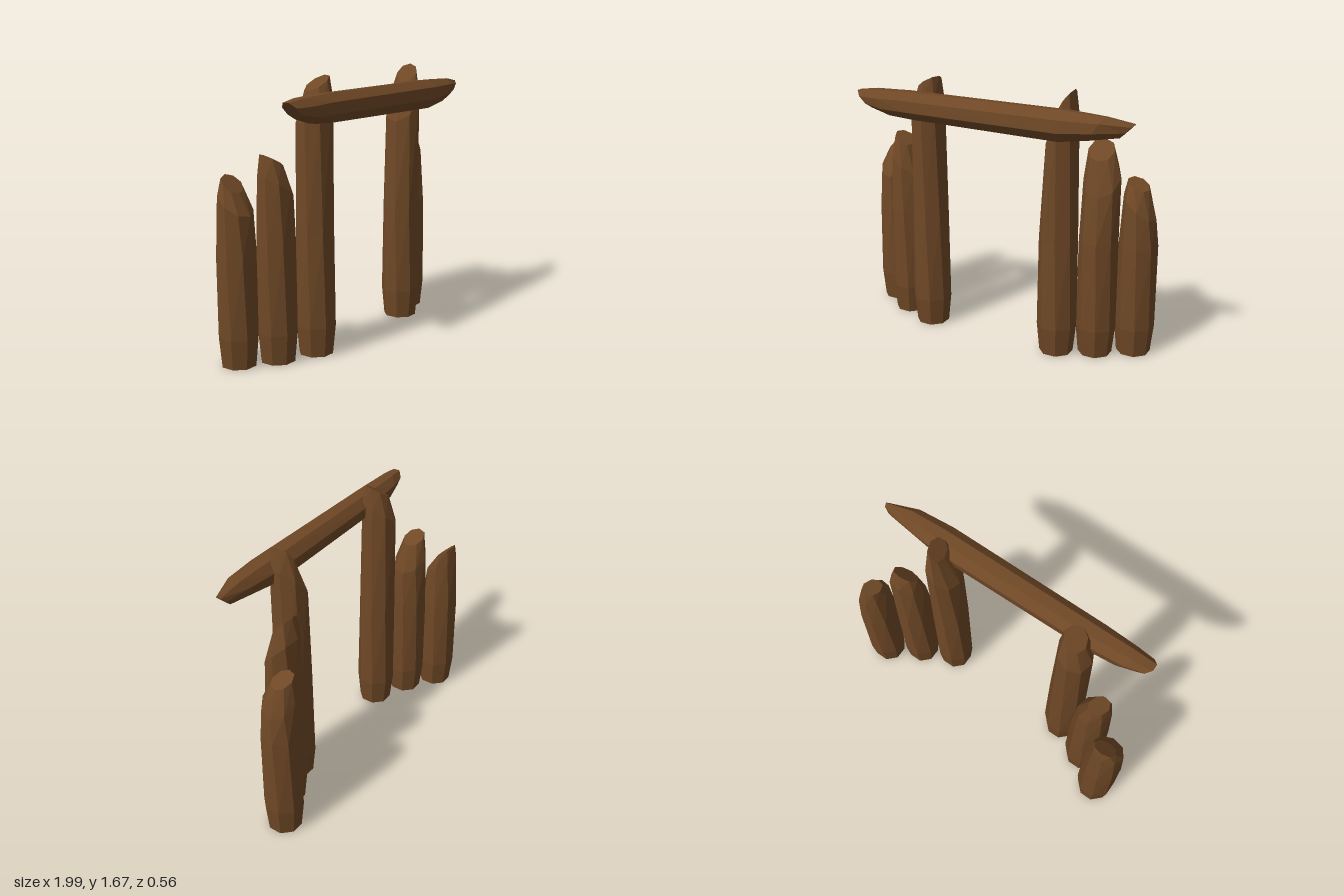
import * as THREE from 'three';

const SIDES = 8;
const wood = new THREE.MeshStandardMaterial({ color: 0x6f4826, flatShading: true });

// A hewn log lofted along y. Each ring: [y, dx, dz, rx, rz, slopeX, slopeZ];
// the slopes tilt a ring so that the ends are cut at an angle.
function logGeometry(rings, twist) {
  const pos = [];
  const index = [];
  const at = (j, i) => j * SIDES + (i % SIDES);
  rings.forEach(([y, dx, dz, rx, rz, sx = 0, sz = 0], j) => {
    for (let i = 0; i < SIDES; i++) {
      const a = (i / SIDES) * Math.PI * 2 + twist * Math.max(0, j - 1) + Math.PI / 8;
      const x = rx * Math.cos(a);
      const z = rz * Math.sin(a);
      pos.push(dx + x, y + sx * x + sz * z, dz + z);
    }
  });
  const last = rings.length - 1;
  for (let j = 0; j < last; j++) {
    for (let i = 0; i < SIDES; i++) {
      index.push(at(j, i), at(j + 1, i), at(j, i + 1));
      index.push(at(j, i + 1), at(j + 1, i), at(j + 1, i + 1));
    }
  }
  // Flat end cuts
  for (let i = 1; i < SIDES - 1; i++) {
    index.push(at(0, 0), at(0, i), at(0, i + 1));
    index.push(at(last, 0), at(last, i + 1), at(last, i));
  }
  const g = new THREE.BufferGeometry();
  g.setAttribute('position', new THREE.Float32BufferAttribute(pos, 3));
  g.setIndex(index);
  g.computeVertexNormals();
  return g;
}

function addLog(parent, name, rings, twist) {
  const mesh = new THREE.Mesh(logGeometry(rings, twist), wood);
  mesh.name = name;
  parent.add(mesh);
  return mesh;
}

// Each post: position, height of its middle ring, then shoulder and tip rings
const posts = [
  { name: 'rightGatePost', x: -0.455, z: 0.07, mid: 0.75,
    top: [[1.46, 0, 0, 0.108, 0.115, 0.6, 0.3], [1.615, 0.02, 0.005, 0.07, 0.075, 0.6, 0.2]] },
  { name: 'rightMiddlePost', x: -0.69, z: -0.03, mid: 0.72,
    top: [[1.04, 0, 0, 0.105, 0.105, -0.6, -0.1], [1.195, -0.02, -0.01, 0.064, 0.07, -0.55, -0.15]] },
  { name: 'rightOuterPost', x: -0.88, z: -0.165, mid: 0.66,
    top: [[0.96, 0, 0, 0.104, 0.1, 0, -0.7], [1.065, 0.01, -0.03, 0.073, 0.055, 0, -0.9]] },
  { name: 'leftGatePost', x: 0.455, z: 0.07, mid: 0.75,
    top: [[1.42, 0.01, 0, 0.1, 0.118, 1.1, 0], [1.615, 0.045, 0.005, 0.043, 0.072, 1.35, 0]] },
  { name: 'leftMiddlePost', x: 0.675, z: -0.03, mid: 0.74,
    top: [[1.13, 0.005, -0.01, 0.116, 0.097, 0, -1], [1.3, -0.01, -0.02, 0.083, 0.055, 0, -1.05]] },
  { name: 'leftOuterPost', x: 0.88, z: -0.16, mid: 0.7,
    top: [[0.95, 0, 0, 0.102, 0.104, -0.7, 0], [1.085, -0.02, -0.015, 0.068, 0.068, -0.4, -0.2]] },
];

export function createModel() {
  const model = new THREE.Group();
  model.name = 'logGateway';

  // Upright posts, three on each side
  for (const { name, x, z, mid, top } of posts) {
    const rings = [
      [0, 0, 0, 0.105, 0.105],
      [0.18, 0, 0, 0.123, 0.123],
      [mid, 0, 0, 0.12, 0.12, 0.1, 0],
      ...top,
    ];
    addLog(model, name, rings, 0.13).position.set(x, 0, z);
  }

  // Crossbeam, a log laid along x across the front of the tall posts
  const beam = addLog(model, 'crossbeam', [
    [-0.82, -0.01, 0.02, 0.054, 0.056, 1.05, 0],
    [-0.7, 0, 0.01, 0.08, 0.078, 0.8, 0],
    [-0.5, 0, 0.005, 0.09, 0.09, 0.3, 0],
    [0.53, 0.002, 0, 0.098, 0.096, -0.2, 0],
    [0.74, -0.008, 0, 0.077, 0.074, -0.6, 0],
    [0.905, -0.01, -0.022, 0.048, 0.03, -1, 0],
  ], 0.06);
  beam.rotation.z = -Math.PI / 2;
  beam.position.set(0, 1.485, 0.19);

  return model;
}
